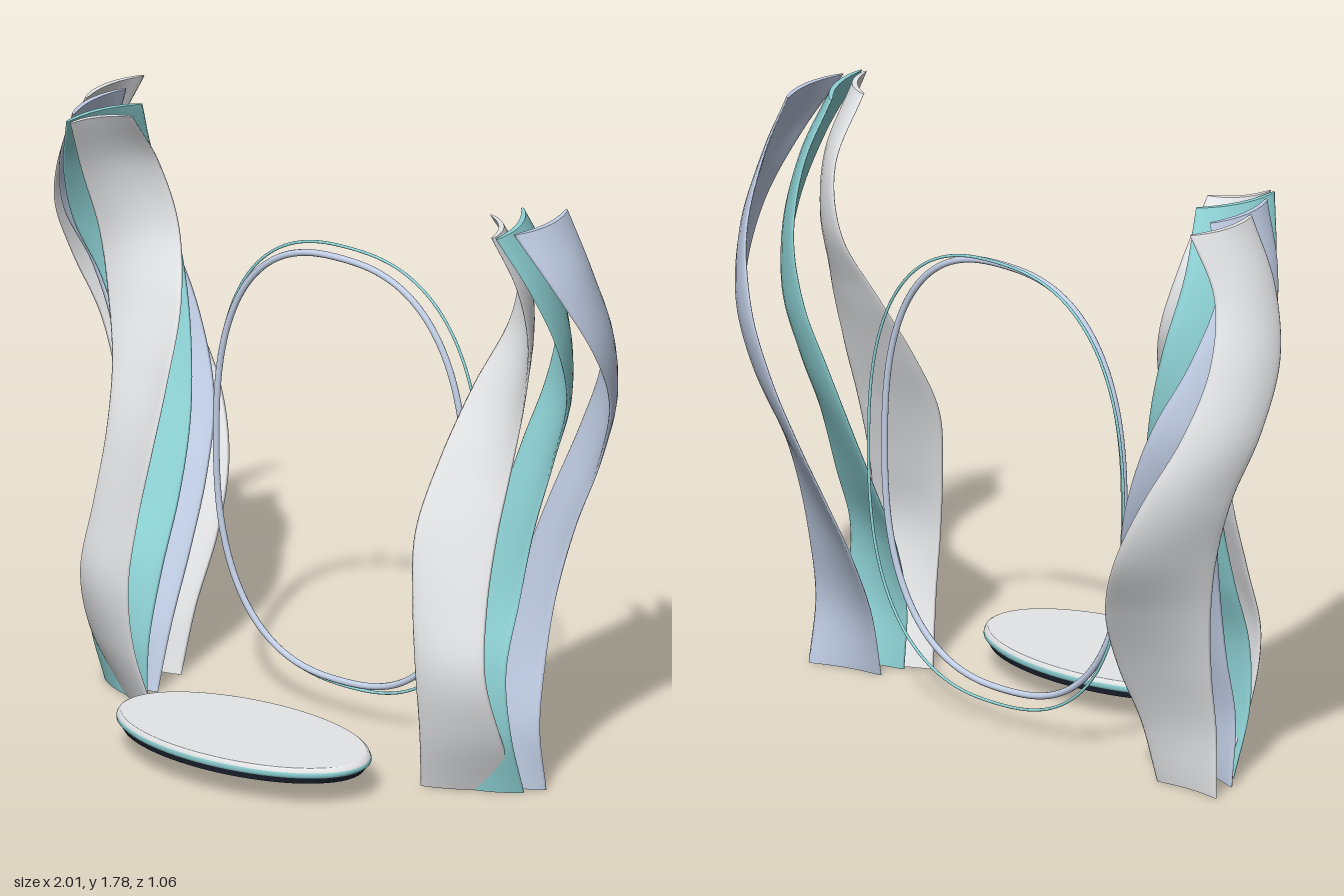
import * as THREE from 'three';

const mat = (name, color) => {
  const m = new THREE.MeshStandardMaterial({ color });
  m.name = name;
  return m;
};

const CX = 0.04; // the symmetry plane
const LEVELS = [0, 0.2, 0.4, 0.6, 0.8, 1.0, 1.2, 1.4, 1.6, 1.785];

// Each ribbon: inner and outer edge, as distance from the symmetry plane and z per level
const RIBBONS = {
  frontRibbon: {
    au: [.485, .517, .52, .50, .48, .495, .53, .60, .65, .65],
    az: [.09, .14, .165, .15, .11, .01, -.105, -.19, -.16, -.03],
    bu: [.73, .745, .735, .715, .71, .725, .755, .78, .79, .765],
    bz: [-.06, .05, .11, .075, .02, -.03, -.05, -.04, .03, .12],
  },
  tealRibbon: {
    au: [.55, .54, .535, .54, .56, .60, .655, .70, .72, .69],
    az: [.035, .035, -.02, -.11, -.19, -.25, -.295, -.29, -.22, -.13],
    bu: [.76, .765, .755, .755, .76, .785, .845, .88, .85, .78],
    bz: [-.045, .025, .035, -.03, -.09, -.15, -.14, -.05, .04, .12],
  },
  blueRibbon: {
    au: [.57, .56, .56, .575, .61, .68, .76, .84, .86, .80],
    az: [-.045, -.10, -.19, -.29, -.375, -.415, -.41, -.335, -.235, -.20],
    bu: [.80, .795, .79, .80, .83, .885, .94, .96, .90, .80],
    bz: [-.10, -.075, -.11, -.15, -.20, -.245, -.22, -.11, -.01, .06],
  },
  backRibbon: {
    au: [.60, .59, .585, .62, .71, .80, .89, .93, .90, .82],
    az: [-.20, -.26, -.36, -.46, -.53, -.51, -.44, -.36, -.30, -.315],
    bu: [.826, .826, .84, .87, .917, .98, 1.035, 1.025, .95, .85],
    bz: [-.20, -.20, -.24, -.28, -.31, -.315, -.25, -.15, -.085, -.07],
  },
};

// Twisting strip with a thin, bowed, round-edged section; the bow turns outward with height
function ribbonGeometry({ au, az, bu, bz }, side) {
  const edge = (u, z) => new THREE.CatmullRomCurve3(
    LEVELS.map((y, i) => new THREE.Vector3(u[i], y, z[i])), false, 'catmullrom', 0.5);
  const inner = edge(au, az), outer = edge(bu, bz);
  const ROWS = 72, N = 20, THICK = 0.016;
  const pos = [], idx = [];
  const tri = (a, b, c) => (side > 0 ? idx.push(a, b, c) : idx.push(a, c, b));
  const addRow = (t) => {
    const a = inner.getPoint(t), b = outer.getPoint(t);
    const du = b.x - a.x, dz = b.z - a.z, len = Math.hypot(du, dz);
    const bow = THREE.MathUtils.lerp(0.016, -0.03, THREE.MathUtils.smoothstep(a.y, 0.3, 1.2));
    for (let j = 0; j < N; j++) {
      const th = (j / N) * Math.PI * 2;
      const s = 0.5 - 0.5 * Math.cos(th), sn = Math.sin(th);
      const h = Math.sign(sn) * Math.sqrt(Math.abs(sn)) * THICK / 2 + bow * 4 * s * (1 - s);
      pos.push(CX + side * (a.x + du * s - dz / len * h), a.y, a.z + dz * s + du / len * h);
    }
  };
  for (let i = 0; i <= ROWS; i++) addRow(i / ROWS);
  for (let i = 0; i < ROWS; i++) {
    for (let j = 0; j < N; j++) {
      const a = i * N + j, b = i * N + (j + 1) % N;
      tri(a, b, b + N);
      tri(a, b + N, a + N);
    }
  }
  // end caps, stitched front to back so the bowed section stays filled
  const low = (ROWS + 1) * N, top = low + N;
  addRow(0);
  addRow(1);
  for (let k = 0; k < N / 2; k++) {
    const p = k, q = k + 1, r = (N - k) % N, s = N - k - 1;
    if (q !== s) { tri(top + p, top + q, top + s); tri(low + p, low + s, low + q); }
    if (p !== r) { tri(top + p, top + s, top + r); tri(low + p, low + r, low + s); }
  }
  const g = new THREE.BufferGeometry();
  g.setAttribute('position', new THREE.Float32BufferAttribute(pos, 3));
  g.setIndex(idx);
  g.computeVertexNormals();
  return g;
}

// Tall rounded hoop
function hoopGeometry(rx, ry, cy, z, tube) {
  const pw = (v) => Math.sign(v) * Math.pow(Math.abs(v), 2 / 2.5);
  const pts = [];
  for (let i = 0; i < 64; i++) {
    const t = ((i + 0.5) / 64) * Math.PI * 2;
    pts.push(new THREE.Vector3(CX + rx * pw(Math.cos(t)), cy + ry * pw(Math.sin(t)), z));
  }
  return new THREE.TubeGeometry(new THREE.CatmullRomCurve3(pts, true), 192, tube, 10, true);
}

export function createModel() {
  const model = new THREE.Group();
  model.name = 'stageBackdrop';
  const white = mat('pearl white', 0xe6e7e9);
  const teal = mat('soft teal', 0x8fd3d6);
  const blue = mat('pale blue', 0xc2cfe6);
  const dark = mat('dark navy', 0x202837);

  const add = (name, geometry, material, parent = model) => {
    const mesh = new THREE.Mesh(geometry, material);
    mesh.name = name;
    parent.add(mesh);
  };

  // Ribbon columns: three on the left, four on the right
  const colours = { frontRibbon: white, tealRibbon: teal, blueRibbon: blue, backRibbon: white };
  for (const side of [1, -1]) {
    const column = new THREE.Group();
    column.name = side > 0 ? 'leftColumn' : 'rightColumn';
    for (const name of Object.keys(RIBBONS)) {
      if (side > 0 && name === 'backRibbon') continue;
      add(name, ribbonGeometry(RIBBONS[name], side), colours[name], column);
    }
    model.add(column);
  }

  // Hoops
  add('frontHoop', hoopGeometry(0.453, 0.66, 0.79, -0.172, 0.01), blue);
  add('backHoop', hoopGeometry(0.482, 0.686, 0.785, -0.21, 0.0045), teal);

  // Oval platform in three bands
  const platform = new THREE.Group();
  platform.name = 'platform';
  platform.position.set(CX, 0, 0.3);
  platform.scale.set(0.43, 1, 0.23);
  const band = (name, points, material) => add(name,
    new THREE.LatheGeometry(points.map(([r, y]) => new THREE.Vector2(r, y)), 72), material, platform);
  band('platformBase', [[0, 0.075], [0.949, 0.075], [0.95, 0.075], [0.985, 0.095]], dark);
  band('platformRim', [[0.985, 0.095], [1, 0.1], [1, 0.108], [0.995, 0.112]], teal);
  band('platformTop', [[0.995, 0.112], [0.985, 0.12], [0.965, 0.125], [0.964, 0.125], [0, 0.125]], white);
  model.add(platform);

  return model;
}
